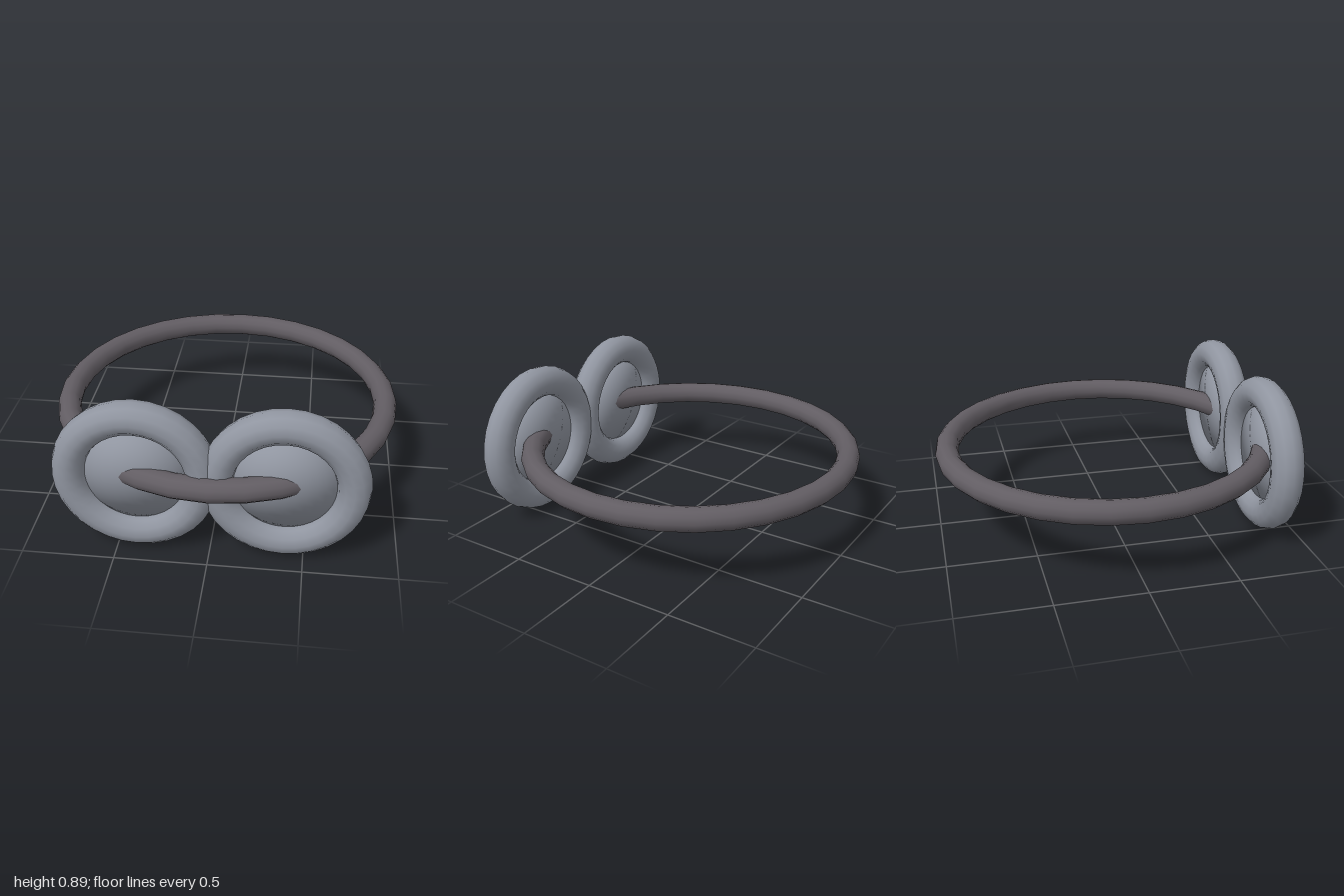
import * as THREE from 'three';

const CENTRE_Y = 0.444;

const bandMaterial = new THREE.MeshStandardMaterial({ color: 0x625d63 });
bandMaterial.name = 'dark band';
const discMaterial = new THREE.MeshStandardMaterial({ color: 0x9095a0 });
discMaterial.name = 'light grey';

function addMesh(parent, name, geometry, material) {
  const mesh = new THREE.Mesh(geometry, material);
  mesh.name = name;
  parent.add(mesh);
  return mesh;
}

// Sphere pressed thin along z; its round normals are kept for domed shading
function lensGeometry(radius, halfDepth) {
  const geometry = new THREE.SphereGeometry(radius, 32, 24);
  const position = geometry.attributes.position;
  for (let i = 0; i < position.count; i++) {
    position.setZ(i, position.getZ(i) * halfDepth / radius);
  }
  return geometry;
}

// One round eyepiece: a thick rim around a shallow lens
function createEyepiece(name, x) {
  const eyepiece = new THREE.Group();
  eyepiece.name = name;
  addMesh(eyepiece, 'rim', new THREE.TorusGeometry(0.353, 0.091, 12, 32), discMaterial);
  addMesh(eyepiece, 'lens', lensGeometry(0.3, 0.038), discMaterial);
  eyepiece.position.set(x, CENTRE_Y, 0.84);
  return eyepiece;
}

export function createModel() {
  const model = new THREE.Group();
  model.name = 'goggles';

  // Headband: a full horizontal ring passing through both lenses
  const band = new THREE.TorusGeometry(0.933, 0.067, 12, 32).rotateX(Math.PI / 2);
  addMesh(model, 'headband', band, bandMaterial).position.y = CENTRE_Y;

  model.add(createEyepiece('leftEyepiece', 0.39), createEyepiece('rightEyepiece', -0.39));
  return model;
}
